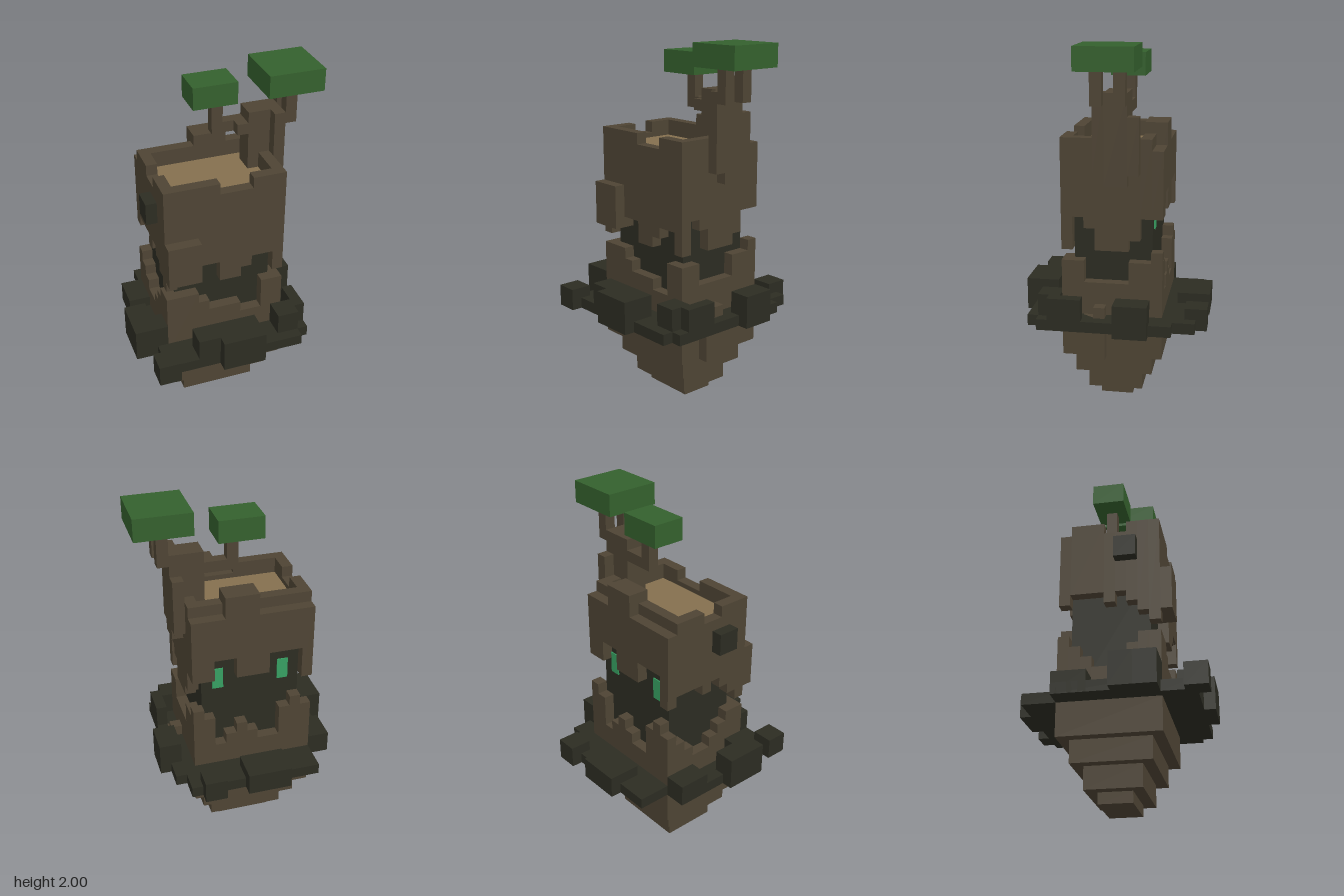
import * as THREE from 'three';

const U = 2 / 33; // one block

const mat = (name, color) => {
  const m = new THREE.MeshStandardMaterial({ color });
  m.name = name;
  return m;
};

export function createModel() {
  const model = new THREE.Group();
  const bark = mat('bark brown', 0x4e4434);
  const wood = mat('cut wood tan', 0x846f4e);
  const rock = mat('dark stone', 0x2c2c22);
  const leaf = mat('leaf green', 0x34602d);
  const glow = mat('eye green', 0x37a062);

  const part = (name) => {
    const g = new THREE.Group();
    g.name = name;
    model.add(g);
    return g;
  };
  // Box between block coordinates x0..x1, y0..y1, z0..z1
  const box = (parent, name, m, x0, x1, y0, y1, z0, z1) => {
    const geo = new THREE.BoxGeometry((x1 - x0) * U, (y1 - y0) * U, (z1 - z0) * U);
    const mesh = new THREE.Mesh(geo, m);
    mesh.position.set((x0 + x1) / 2 * U, (y0 + y1) / 2 * U, (z0 + z1) / 2 * U);
    mesh.name = name;
    parent.add(mesh);
  };
  // Wall of one-block columns; equal neighbours are joined into one box
  const wall = (parent, name, axis, at, start, bottoms, tops) => {
    for (let i = 0; i < bottoms.length;) {
      let j = i + 1;
      while (j < bottoms.length && bottoms[j] === bottoms[i] && tops[j] === tops[i]) j++;
      const a = start + i, b = start + j;
      if (axis === 'x') box(parent, name, bark, a, b, bottoms[i], tops[i], at, at + 1);
      else box(parent, name, bark, at, at + 1, bottoms[i], tops[i], a, b);
      i = j;
    }
  };
  const same = (n, v) => new Array(n).fill(v);

  // Stepped root
  const root = part('root');
  box(root, 'rootTip', bark, -3, 2, 0, 1, -1.5, 1.5);
  box(root, 'rootStepLow', bark, -4, 3, 1, 3, -2.5, 2.5);
  box(root, 'rootStepMiddle', bark, -5, 4, 3, 5, -3.5, 3.5);
  box(root, 'rootStepHigh', bark, -6, 5, 5, 8, -4.5, 4.5);
  box(root, 'sideRoot', bark, 5, 6, 5, 9, 0.5, 2.5);
  box(root, 'sideRootTop', bark, 5, 6, 9, 10, 0.5, 1.5);

  // Dark inner core
  box(model, 'core', rock, -5, 4, 8, 20, -3.5, 3.5);

  // Jagged lower bark shell (x from -6, side z from -3.5)
  const lower = part('lowerShell');
  wall(lower, 'lowerFront', 'x', 3.5, -6, same(11, 8), [14, 14, 14, 13, 12, 12, 12, 11, 11, 14, 14]);
  wall(lower, 'lowerBack', 'x', -4.5, -6, same(11, 8), [14, 15, 14, 11, 11, 12, 13, 12, 11, 14, 15]);
  wall(lower, 'lowerLeft', 'z', 4, -3.5, same(7, 8), [14, 14, 12, 12, 12, 12, 14]);
  wall(lower, 'lowerRight', 'z', -6, -3.5, same(7, 8), [13, 12, 11, 11, 12, 13, 14]);

  // Upper bark shell with ragged lower edge and notched rim
  const upper = part('upperShell');
  wall(upper, 'upperFront', 'x', 3.5, -6,
    [15, 16, 16, 17, 17, 15, 15, 16, 17, 17, 15], [25, 25, 25, 25, 25, 24, 24, 24, 25, 25, 25]);
  wall(upper, 'upperBack', 'x', -4.5, -6,
    [17, 20, 20, 20, 18, 18, 18, 20, 20, 18, 18], [24, 24, 24, 24, 24, 26, 26, 26, 24, 24, 24]);
  wall(upper, 'upperLeft', 'z', 4, -3.5, [18, 16, 15, 15, 15, 17, 18], same(7, 25));
  wall(upper, 'upperRight', 'z', -6, -3.5, [18, 18, 18, 17, 18, 17, 16], [25, 25, 25, 24, 24, 25, 25]);
  box(upper, 'upperFill', bark, -5, 4, 20, 23.4, -3.5, 3.5);
  box(upper, 'innerBackRim', bark, -5, 4, 23.4, 25, -3.5, -2.5);
  box(upper, 'backRimCrest', bark, -1, 2, 24, 26, -3.5, -2.5);
  box(upper, 'frontPatch', bark, -6, -3, 16, 20, 4.5, 5.5);
  box(model, 'woodFloor', wood, -5, 4, 23.4, 23.55, -2.5, 3.5);
  box(model, 'sideKnot', rock, -7, -6, 21, 23, 0.5, 2.5);

  // Eyes on the back face
  for (const x of [-4, 2]) box(model, 'eye', glow, x, x + 1, 16.6, 18.6, -3.6, -3.5);

  // Ring of stones: x0, x1, top, z0, z1
  const ring = part('stoneRing');
  [
    [-6, 6, 9, -7.5, -4.5], [-7, 6, 9, 4.5, 7.5], [-8, -6, 9, -4.5, 4.5], [5, 7, 9, -5.5, 6.5],
  ].forEach(([a, b, t, c, d]) => box(ring, 'ringSlab', rock, a, b, 8, t, c, d));
  [
    [-3, 1, 10, -8.5, -5.5], [3, 5, 10, -8.5, -6.5],
    [-2, 2, 11, 5.5, 8.5], [-4, -2, 11, 5.5, 7.5], [-8, -6, 10, 6.5, 8.5],
    [4, 6, 11, 4.5, 6.5], [6, 7, 11, 2.5, 5.5], [6, 8, 11, -3.5, -0.5],
    [-8, -6, 10, -4.5, -1.5], [-9, -7, 11, 0.5, 2.5], [-9, -6, 11, 2.5, 4.5],
  ].forEach(([a, b, t, c, d]) => box(ring, 'ringStone', rock, a, b, 8, t, c, d));

  // Small tree growing from the rim
  const tree = part('tree');
  box(tree, 'trunk', bark, 5, 6, 21, 29, -1.5, 0.5);
  box(tree, 'trunkFront', bark, 5, 6, 22, 29, 0.5, 1.5);
  box(tree, 'trunkBack', bark, 5, 6, 22, 27, -2.5, -1.5);
  box(tree, 'trunkInner', bark, 4, 5, 25, 29, -1.5, 0.5);
  box(tree, 'trunkInnerLow', bark, 3, 4, 23.5, 29, -1.5, 0.5);
  box(tree, 'branch', bark, 0, 3, 27, 28, -1.5, -0.5);
  box(tree, 'branchElbow', bark, 2, 3, 27, 28, -0.5, 0.5);
  box(tree, 'branchTip', bark, 0, 1, 28, 30, -1.5, -0.5);
  for (const z of [-1.5, 0.5]) box(tree, 'prong', bark, 6, 7, 28, 31, z, z + 1);
  box(tree, 'smallLeaves', leaf, -2, 2, 30, 32, -2.5, 0.5);
  box(tree, 'largeLeaves', leaf, 4, 9, 31, 33, -2.5, 2.5);

  return model;
}
